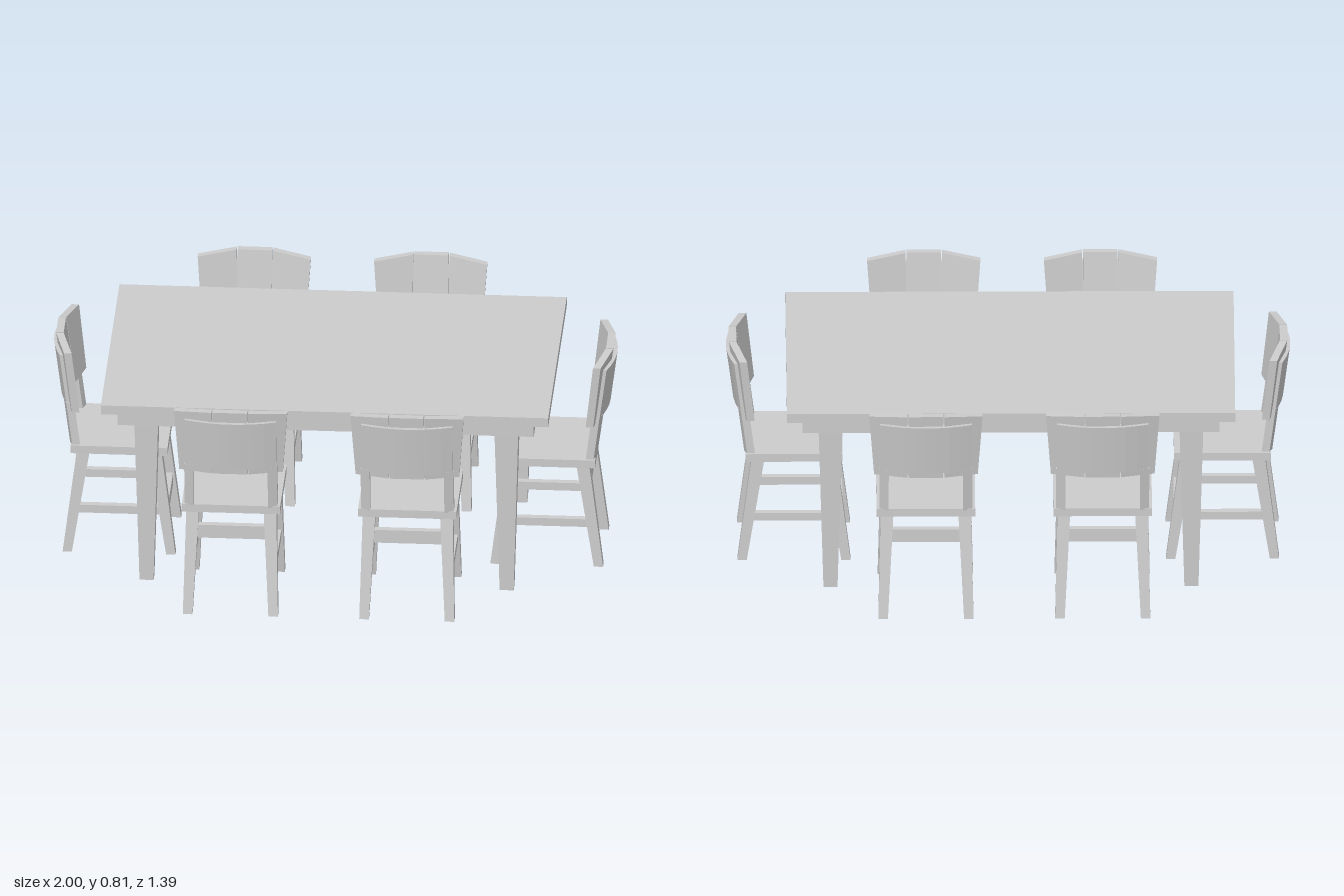
import * as THREE from 'three';

const material = new THREE.MeshStandardMaterial({ color: 0xcccccc, flatShading: true });

function add(parent, name, geometry) {
  const mesh = new THREE.Mesh(geometry, material);
  mesh.name = name;
  parent.add(mesh);
  return mesh;
}

function box(parent, name, w, h, d, x, y, z) {
  return add(parent, name, new THREE.BoxGeometry(w, h, d).translate(x, y, z));
}

// Move every vertex of a geometry by a rule
function reshape(geometry, rule) {
  const p = geometry.attributes.position;
  const v = new THREE.Vector3();
  for (let i = 0; i < p.count; i++) {
    v.fromBufferAttribute(p, i);
    rule(v);
    p.setXYZ(i, v.x, v.y, v.z);
  }
  geometry.computeVertexNormals();
  return geometry;
}

// Square leg from the floor to height h; bottom and top are [x, z, width, depth]
function leg(parent, name, h, bottom, top) {
  const g = new THREE.BoxGeometry(1, h, 1).translate(0, h / 2, 0);
  add(parent, name, reshape(g, v => {
    const [x, z, w, d] = v.y > h / 2 ? top : bottom;
    v.x = x + v.x * w;
    v.z = z + v.z * d;
  }));
}

// Backward lean of the chair back above the seat
const lean = y => 0.13 * (y - 0.42);

// Frame parts follow a shallow arc
function curveFrame(v) {
  v.z += 0.182 - 0.027 * (v.x / 0.158) ** 2 + lean(v.y);
}

// Slats: flat centre, outer ones angled toward the sitter
function angleSlat(v) {
  v.z += 0.153 - Math.max(0, Math.abs(v.x) - 0.063) * 0.255 + lean(v.y);
}

function slat(parent, name, corners) {
  const shape = new THREE.Shape(corners.map(([x, y]) => new THREE.Vector2(x, y)));
  const g = new THREE.ExtrudeGeometry(shape, { depth: 0.027, bevelEnabled: false });
  add(parent, name, reshape(g, angleSlat));
}

// Chair with its back toward +z
function createChair() {
  const chair = new THREE.Group();
  chair.name = 'chair';
  box(chair, 'seat', 0.35, 0.03, 0.345, 0, 0.405, 0);

  for (const s of [-1, 1]) {
    for (const e of [-1, 1]) {
      leg(chair, e > 0 ? 'backLeg' : 'frontLeg', 0.392,
        [s * 0.152, e * 0.184, 0.034, 0.033], [s * 0.1375, e * 0.128, 0.045, 0.046]);
    }
    box(chair, 'sideStretcher', 0.025, 0.03, 0.3, s * 0.146, 0.165, 0);

    // Back post
    const post = new THREE.BoxGeometry(0.033, 0.17, 0.028).translate(s * 0.1485, 0.5, 0);
    add(chair, 'backPost', reshape(post, curveFrame));

    // Outer slat, wider at the top
    slat(chair, 'outerSlat', [
      [s * 0.065, 0.555], [s * 0.184, 0.555], [s * 0.201, 0.795], [s * 0.065, 0.809],
    ]);
  }
  slat(chair, 'centreSlat', [[-0.061, 0.555], [0.061, 0.555], [0.061, 0.81], [-0.061, 0.81]]);

  box(chair, 'backRail', 0.25, 0.05, 0.025, 0, 0.305, 0.14);
  box(chair, 'frontRail', 0.27, 0.045, 0.025, 0, 0.158, -0.16);

  // Curved panel behind the slats
  const panel = new THREE.BoxGeometry(0.325, 0.19, 0.027, 8).translate(0, 0.675, 0);
  add(chair, 'backPanel', reshape(panel, curveFrame));
  return chair;
}

function createTable() {
  const table = new THREE.Group();
  table.name = 'table';
  box(table, 'tableTop', 1.59, 0.035, 0.993, 0, 0.7175, 0);
  box(table, 'apron', 1.48, 0.067, 0.885, 0, 0.6675, 0);
  for (const x of [-0.64, 0.64]) {
    for (const z of [-0.36, 0.36]) {
      leg(table, 'tableLeg', 0.636, [x, z, 0.05, 0.05], [x, z, 0.085, 0.085]);
    }
  }
  table.position.set(-0.008, 0, -0.003);
  return table;
}

export function createModel() {
  const model = new THREE.Group();
  model.name = 'diningSet';
  model.add(createTable());

  // Chair placements: x, z, turn
  const places = [
    [-0.332, 0.452, 0], [0.295, 0.452, 0],
    [-0.332, -0.452, Math.PI], [0.295, -0.452, Math.PI],
    [0.76, 0, Math.PI / 2], [-0.76, 0, -Math.PI / 2],
  ];
  for (const [x, z, turn] of places) {
    const chair = createChair();
    chair.position.set(x, 0, z);
    chair.rotation.y = turn;
    model.add(chair);
  }
  return model;
}
